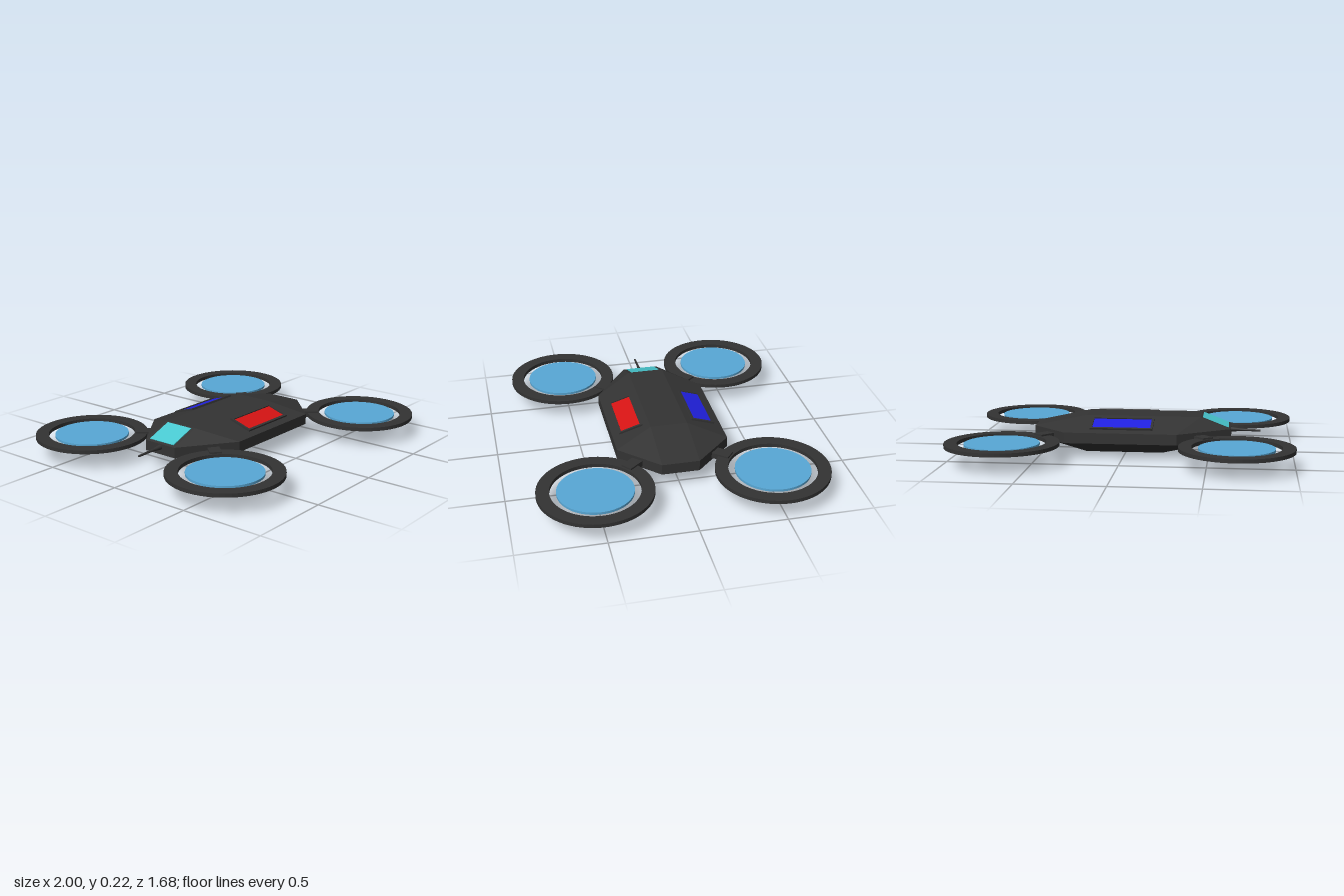
import * as THREE from 'three';

const paint = (color) => new THREE.MeshStandardMaterial({ color, flatShading: true });
const smooth = (color) => new THREE.MeshStandardMaterial({ color });

function add(parent, name, geometry, material) {
  const mesh = new THREE.Mesh(geometry, material);
  mesh.name = name;
  parent.add(mesh);
  return mesh;
}

// Eight-sided plan: ends x0/x1 at half width w, shoulders m0/m1 at half width W
const ring = (y, x0, m0, m1, x1, w, W) => [
  [x1, w], [x1, -w], [m1, -W], [m0, -W], [x0, -w], [x0, w], [m0, W], [m1, W],
].map(([x, z]) => [x, y, z]);

// Closed solid through a stack of rings, bottom to top
function loft(rings) {
  const out = [], n = rings[0].length;
  const tri = (...corners) => corners.forEach((p) => out.push(...p));
  for (let k = 0; k < rings.length - 1; k++) {
    const a = rings[k], b = rings[k + 1];
    for (let i = 0; i < n; i++) {
      const j = (i + 1) % n;
      tri(a[i], a[j], b[j]);
      tri(a[i], b[j], b[i]);
    }
  }
  const low = rings[0], top = rings[rings.length - 1];
  for (let i = 1; i < n - 1; i++) {
    tri(low[0], low[i + 1], low[i]);
    tri(top[0], top[i], top[i + 1]);
  }
  const g = new THREE.BufferGeometry();
  g.setAttribute('position', new THREE.Float32BufferAttribute(out, 3));
  g.computeVertexNormals();
  return g;
}

// Flat rectangular frame lying in the xz plane, with its base at y = 0
function frameGeometry(w, d, border, h) {
  const rect = (path, a, b) =>
    path.moveTo(-a, -b).lineTo(a, -b).lineTo(a, b).lineTo(-a, b).closePath();
  const shape = rect(new THREE.Shape(), w / 2, d / 2);
  shape.holes.push(rect(new THREE.Path(), w / 2 - border, d / 2 - border));
  return new THREE.ExtrudeGeometry(shape, { depth: h, bevelEnabled: false }).rotateX(-Math.PI / 2);
}

export function createModel() {
  const model = new THREE.Group();
  model.name = 'quadcopter';
  const dark = paint(0x333333), rimDark = smooth(0x333333), rotorBlue = smooth(0x58a8d6);

  // Faceted hull: flat keel, straight waist band, flat deck
  add(model, 'hull', loft([
    ring(0, -0.22, -0.22, 0.24, 0.24, 0.11, 0.11),
    ring(0.09, -0.63, -0.32, 0.34, 0.555, 0.11, 0.33),
    ring(0.153, -0.63, -0.32, 0.34, 0.555, 0.11, 0.33),
    ring(0.222, -0.45, -0.45, 0.24, 0.24, 0.11, 0.11),
  ]), dark);

  // Framed coloured panels on the two long slopes
  for (const [side, name, color] of [[1, 'redPanel', 0xd81414], [-1, 'bluePanel', 0x2020e0]]) {
    const panel = new THREE.Group();
    panel.name = name;
    panel.position.set(0.01, 0.187, side * 0.217);
    panel.rotation.x = side * Math.atan2(0.069, 0.22);
    add(panel, 'panelFrame', frameGeometry(0.372, 0.146, 0.014, 0.012), dark);
    add(panel, 'panelFace', new THREE.BoxGeometry(0.35, 0.012, 0.122), paint(color));
    model.add(panel);
  }

  // Window on the nose slope
  const nose = add(model, 'noseWindow', new THREE.BoxGeometry(0.165, 0.006, 0.18), paint(0x48c8d0));
  nose.position.set(-0.538, 0.189, 0);
  nose.rotation.z = Math.atan2(0.069, 0.18);

  // Antenna with a tapered base
  const antenna = new THREE.Group();
  antenna.name = 'antenna';
  antenna.position.set(-0.62, 0.133, 0);
  antenna.rotation.z = Math.PI / 2 + 0.03;
  add(antenna, 'antennaRod', new THREE.CylinderGeometry(0.006, 0.009, 0.185, 10), rimDark).position.y = 0.0925;
  add(antenna, 'antennaBase', new THREE.CylinderGeometry(0.009, 0.017, 0.06, 10), rimDark).position.y = 0.03;
  model.add(antenna);

  // Ring guards, rotor discs and diagonal arms at the four corners
  const guard = new THREE.LatheGeometry(
    [[0.255, 0.104], [0.33, 0.104], [0.33, 0.104], [0.33, 0.126], [0.33, 0.126], [0.255, 0.126], [0.255, 0.126], [0.255, 0.104]]
      .map(([r, y]) => new THREE.Vector2(r, y)), 64).toNonIndexed();
  guard.computeVertexNormals();
  const disc = new THREE.CylinderGeometry(0.217, 0.217, 0.014, 64);
  const arm = new THREE.BoxGeometry(0.16, 0.034, 0.07);
  for (const sx of [1, -1]) for (const sz of [1, -1]) {
    const unit = new THREE.Group();
    unit.name = (sz > 0 ? 'front' : 'back') + (sx > 0 ? 'Left' : 'Right') + 'Rotor';
    add(unit, 'ringGuard', guard, rimDark).position.set(sx * 0.67, 0, sz * 0.51);
    add(unit, 'rotorDisc', disc, rotorBlue).position.set(sx * 0.67, 0.115, sz * 0.51);
    const strut = add(unit, 'arm', arm, dark);
    strut.position.set(sx * 0.45, 0.119, sz * 0.245);
    strut.rotation.y = -sx * sz * 0.88;
    model.add(unit);
  }
  return model;
}
